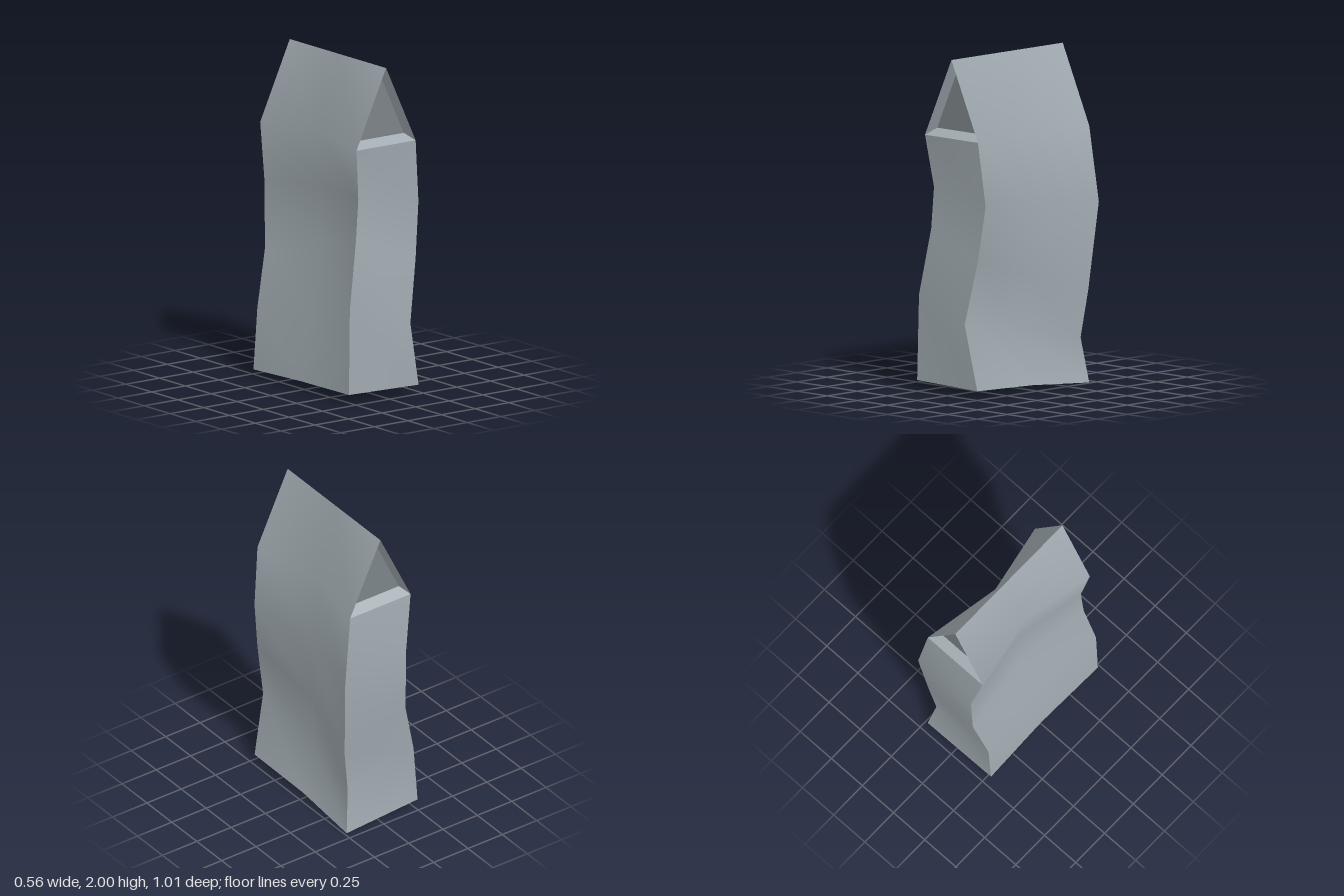
import * as THREE from 'three';

// Surface through columns of points; seen from outside, columns run left to right and points top to bottom.
function grid(columns, smooth = true) {
  const rows = columns[0].length, index = [];
  for (let i = 0; i < columns.length - 1; i++) {
    for (let j = 0; j < rows - 1; j++) {
      const a = i * rows + j, b = a + 1, d = a + rows, c = d + 1;
      index.push(a, b, c, a, c, d);
    }
  }
  let geometry = new THREE.BufferGeometry();
  geometry.setAttribute('position', new THREE.Float32BufferAttribute(columns.flat(2), 3));
  geometry.setIndex(index);
  if (!smooth) geometry = geometry.toNonIndexed();
  geometry.computeVertexNormals();
  return geometry;
}

export function createModel() {
  const group = new THREE.Group();
  const stone = new THREE.MeshStandardMaterial({ color: 0xa0aab0 });
  const panelGrey = new THREE.MeshStandardMaterial({ color: 0x7c8488 });
  const add = (name, geometry, material = stone, parent = group) => {
    const mesh = new THREE.Mesh(geometry, material);
    mesh.name = name;
    parent.add(mesh);
    return mesh;
  };

  // Wobbly vertical edges, from the eaves down to the base
  const END = 0.465, EAVE = 1.53;
  const frontLeft = [[0.22, EAVE, END], [0.26, 1.15, 0.44], [0.22, 0.82, 0.465], [0.15, 0.44, 0.505], [0.23, 0.05, 0.48]];
  const backLeft = [[0.22, EAVE, -END], [0.275, 1.08, -0.49], [0.24, 0.555, -0.437], [0.2, 0.27, -0.413], [0.235, 0, -0.45]];
  const frontRight = [[-0.22, EAVE, END], [-0.18, 1.22, 0.43], [-0.2, 0.97, 0.433], [-0.27, 0.57, 0.465], [-0.28, 0.06, 0.47]];
  const backRight = [[-0.22, EAVE, -END], [-0.16, 1.17, -0.503], [-0.165, 0.755, -0.49], [-0.253, 0.41, -0.45], [-0.278, 0.04, -0.455]];
  // Pinched middle of each long side
  const midLeft = [[0.128, EAVE, 0], [0.178, 1.12, -0.03], [0.16, 0.69, 0], [0.13, 0.36, 0.03], [0.22, 0.033, 0.01]];
  const midRight = [[-0.125, EAVE, 0], [-0.085, 1.2, -0.03], [-0.11, 0.86, -0.02], [-0.21, 0.49, 0], [-0.265, 0.05, 0]];

  // Long sides run up over the roof slope to the straight ridge
  const ridged = (columns) => columns.map((c) => [[0, 2, Math.sign(c[0][2]) * END], ...c]);
  add('leftSideAndRoof', grid(ridged([frontLeft, midLeft, backLeft])));
  add('rightSideAndRoof', grid(ridged([backRight, midRight, frontRight])));

  // End walls and base
  add('frontWall', grid([frontRight, frontLeft]));
  add('backWall', grid([backLeft, backRight]));
  const foot = (...edges) => edges.map((e) => e[4]);
  add('base', grid([foot(frontRight, midRight, backRight), foot(frontLeft, midLeft, backLeft)], false));

  // Recessed triangular gable at each end
  const outer = [[0, 2, END], [-0.22, EAVE, END], [0.22, EAVE, END], [0, 2, END]];
  const z = END - 0.06;
  const inner = [[0, 1.95, z], [-0.178, 1.57, z], [0.178, 1.57, z], [0, 1.95, z]];
  const panel = new THREE.BufferGeometry();
  panel.setAttribute('position', new THREE.Float32BufferAttribute(inner.slice(0, 3).flat(), 3));
  panel.computeVertexNormals();
  const frame = grid([outer, inner], false);
  for (const [name, turn] of [['frontGable', 0], ['backGable', Math.PI]]) {
    const gable = new THREE.Group();
    gable.name = name;
    gable.rotation.y = turn;
    add('gableFrame', frame, stone, gable);
    add('gablePanel', panel, panelGrey, gable);
    group.add(gable);
  }
  return group;
}
